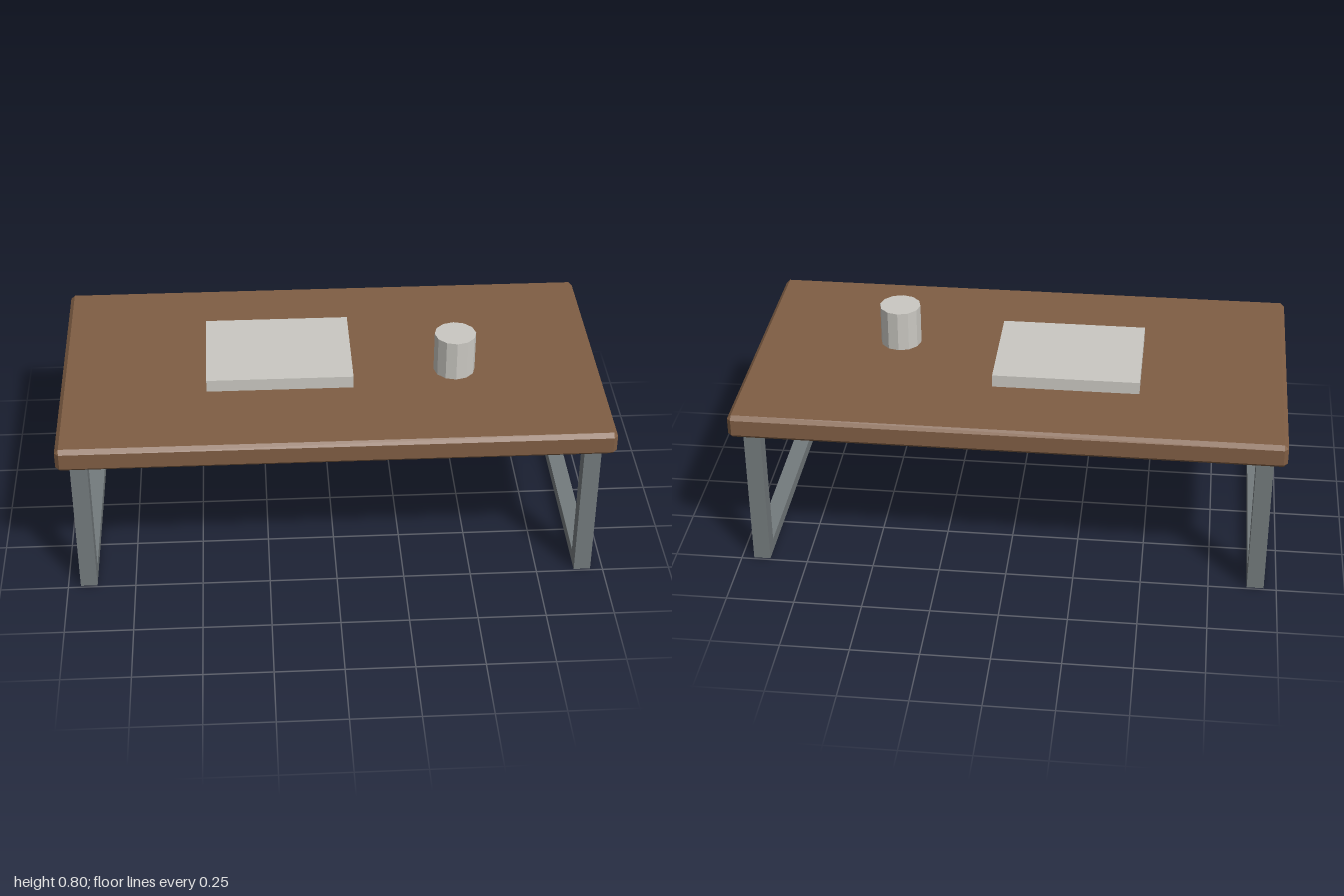
import * as THREE from 'three';
import { ConvexGeometry } from 'three/addons/geometries/ConvexGeometry.js';

const material = (name, color) => {
  const m = new THREE.MeshStandardMaterial({ color });
  m.name = name;
  return m;
};

// Box with every edge cut at 45 degrees
function chamferedBox(w, h, d, c) {
  const points = [];
  for (const sx of [-1, 1]) for (const sy of [-1, 1]) for (const sz of [-1, 1]) {
    const [x, y, z] = [w / 2, h / 2, d / 2];
    points.push(
      new THREE.Vector3(sx * x, sy * (y - c), sz * (z - c)),
      new THREE.Vector3(sx * (x - c), sy * y, sz * (z - c)),
      new THREE.Vector3(sx * (x - c), sy * (y - c), sz * z));
  }
  return new ConvexGeometry(points);
}

export function createModel() {
  const group = new THREE.Group();
  group.name = 'coffeeTable';
  const wood = material('brown wood', 0x805e44);
  const metal = material('grey metal', 0x747b7d);
  const pale = material('pale grey', 0xcac8c2);

  const add = (name, geometry, mat, x, y, z) => {
    const mesh = new THREE.Mesh(geometry, mat);
    mesh.name = name;
    mesh.position.set(x, y, z);
    group.add(mesh);
    return mesh;
  };

  // Tabletop
  const bottom = 0.557, top = 0.647;
  add('tabletop', chamferedBox(2, top - bottom, 1.076, 0.015), wood, 0, (top + bottom) / 2, 0);

  // U-shaped leg frames, one at each end
  const outer = 0.492, inner = 0.43, bar = 0.046, legWidth = 0.062;
  const outline = new THREE.Shape([
    [-outer, 0], [outer, 0], [outer, bottom], [inner, bottom],
    [inner, bar], [-inner, bar], [-inner, bottom], [-outer, bottom],
  ].map(([x, y]) => new THREE.Vector2(x, y)));
  const frame = new THREE.ExtrudeGeometry(outline, { depth: legWidth, bevelEnabled: false });
  frame.translate(0, 0, -legWidth / 2).rotateY(Math.PI / 2);
  for (const [name, side] of [['leftLegFrame', 1], ['rightLegFrame', -1]]) {
    add(name, frame, metal, side * 0.923, 0, 0);
  }

  // Book and cup resting on the tabletop
  add('book', new THREE.BoxGeometry(0.54, 0.047, 0.415), pale, -0.193, top + 0.0235, -0.022);
  const cupMaterial = pale;
  const cup = new THREE.CylinderGeometry(0.077, 0.077, 0.154, 12).toNonIndexed();
  cup.computeVertexNormals();
  add('cup', cup, cupMaterial, 0.46, top + 0.077, 0.077);

  return group;
}
